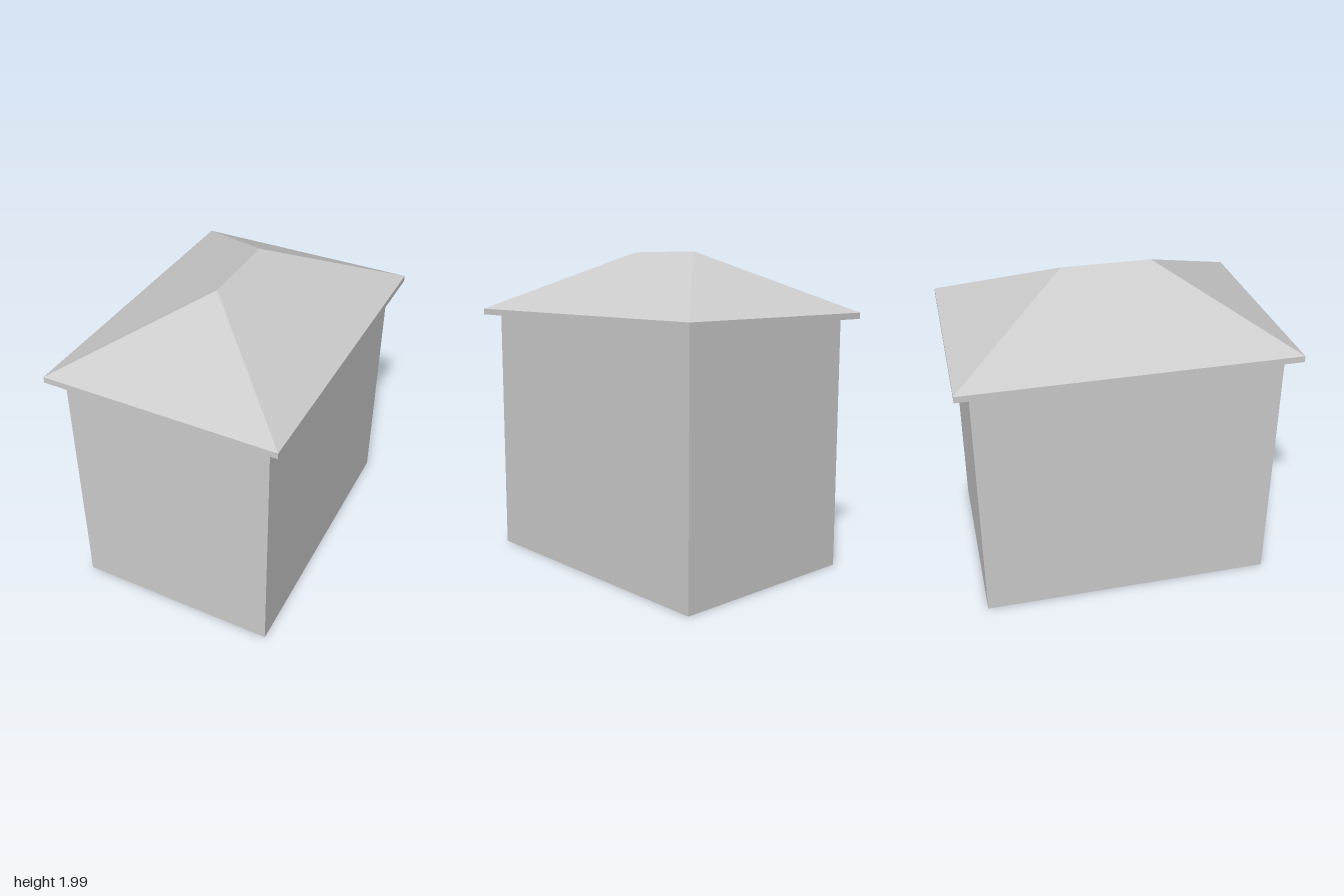
import * as THREE from 'three';

// Rectangle of four corners at height y, anticlockwise seen from above
const ring = (hx, hz, y) => [[-hx, y, hz], [hx, y, hz], [hx, y, -hz], [-hx, y, -hz]];

// Flat-faced open shell joining two rings, lower to upper
function shell(lower, upper) {
  const pos = [];
  const tri = (a, b, c) => {
    const same = (p, q) => p.every((v, i) => v === q[i]);
    if (!same(a, b) && !same(b, c) && !same(c, a)) pos.push(...a, ...b, ...c);
  };
  for (let i = 0; i < 4; i++) {
    const j = (i + 1) % 4;
    tri(lower[i], lower[j], upper[j]);
    tri(lower[i], upper[j], upper[i]);
  }
  const geo = new THREE.BufferGeometry();
  geo.setAttribute('position', new THREE.Float32BufferAttribute(pos, 3));
  geo.computeVertexNormals();
  return geo;
}

export function createModel() {
  const group = new THREE.Group();
  const grey = new THREE.MeshStandardMaterial({ color: 0xcccccc, side: THREE.DoubleSide });
  grey.name = 'plainGrey';

  const add = (name, geo) => {
    const mesh = new THREE.Mesh(geo, grey);
    mesh.name = name;
    group.add(mesh);
    return mesh;
  };

  // Four thin walls, open underneath
  add('walls', shell(ring(0.642, 0.916, 0), ring(0.642, 0.916, 1.615)));

  // Eave band and hipped roof, hollow underneath
  const eave = ring(0.724, 1, 1.614);
  add('eaveBand', shell(ring(0.724, 1, 1.576), eave));
  add('hipRoof', shell(eave, ring(0, 0.276, 1.986)));

  // Narrow pillar standing inside
  const pillar = add('innerPillar', new THREE.BoxGeometry(0.22, 1.6, 0.07));
  pillar.position.set(0.2, 0.8, 0.28);

  return group;
}
